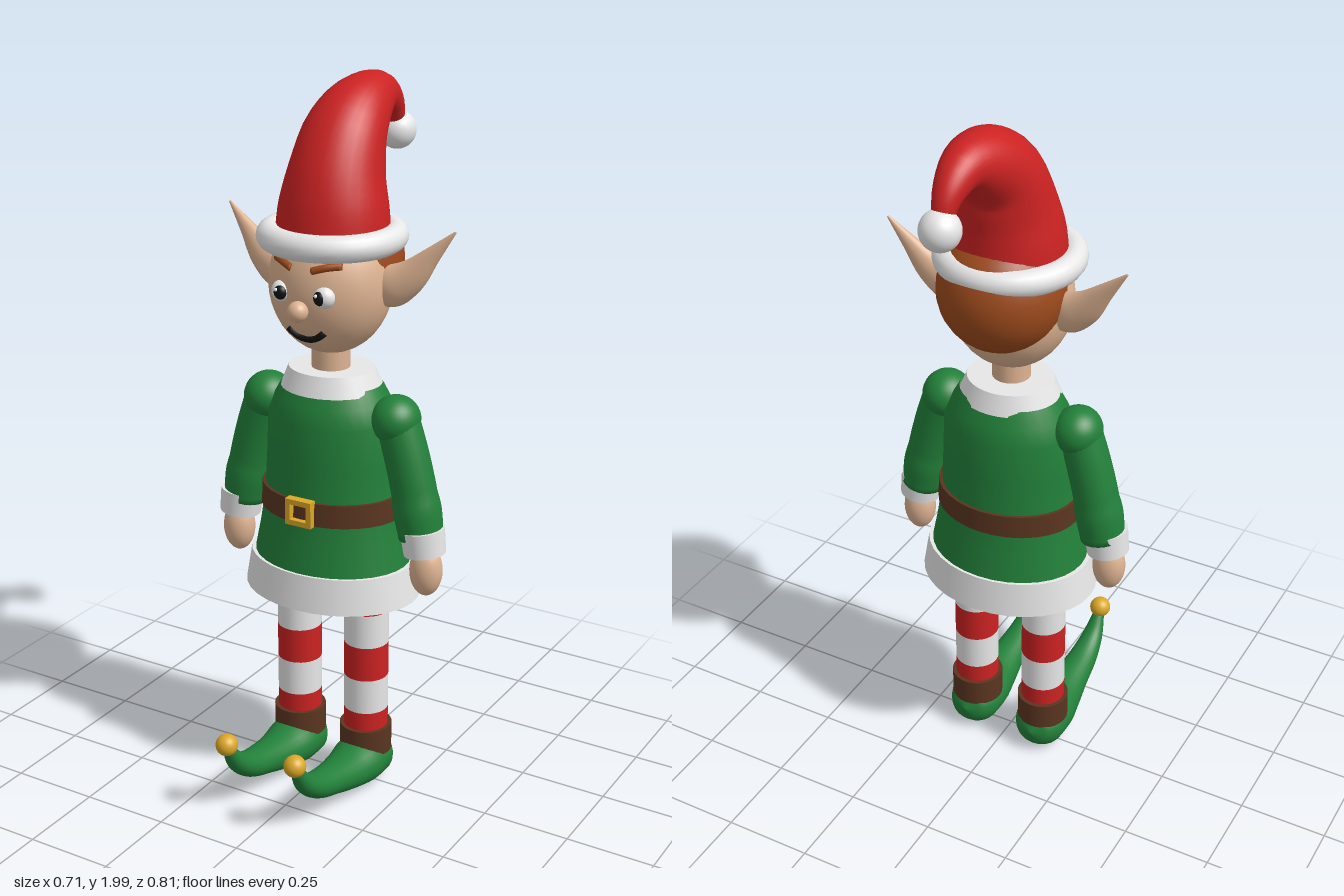
import * as THREE from 'three';

const mat = (name, color) => {
  const m = new THREE.MeshStandardMaterial({ color });
  m.name = name;
  return m;
};
const V = (x, y, z) => new THREE.Vector3(x, y, z);

// Closed smooth loft along a planar path; rows are [x, y, z, radius along side axis, other radius]
function loft(rows, side, steps = 20, segs = 24) {
  const path = new THREE.CatmullRomCurve3(rows.map(r => V(r[0], r[1], r[2])));
  const size = new THREE.CatmullRomCurve3(rows.map(r => V(r[3], r[4] ?? r[3], 0)));
  const pos = [], idx = [];
  for (let i = 0; i <= steps; i++) {
    const t = i / steps, c = path.getPoint(t), r = size.getPoint(t);
    const up = path.getTangent(t).cross(side).normalize();
    for (let j = 0; j < segs; j++) {
      const a = j / segs * Math.PI * 2;
      const p = c.clone().addScaledVector(side, Math.cos(a) * r.x).addScaledVector(up, Math.sin(a) * r.y);
      pos.push(p.x, p.y, p.z);
      if (i < steps) {
        const k = (j + 1) % segs, o = i * segs, n = o + segs;
        idx.push(o + j, o + k, n + k, o + j, n + k, n + j);
      }
    }
  }
  // End caps
  [0, 1].forEach(end => {
    const c = path.getPoint(end), n = pos.length / 3, o = end * steps * segs;
    pos.push(c.x, c.y, c.z);
    for (let j = 0; j < segs; j++) {
      const k = (j + 1) % segs;
      if (end) idx.push(n, o + j, o + k); else idx.push(n, o + k, o + j);
    }
  });
  const g = new THREE.BufferGeometry();
  g.setAttribute('position', new THREE.Float32BufferAttribute(pos, 3));
  g.setIndex(idx);
  g.computeVertexNormals();
  return g;
}

export function createModel() {
  const model = new THREE.Group();
  model.name = 'elf';
  const red = mat('red', 0xcc2222), white = mat('white', 0xe8e8e8), green = mat('green', 0x22803a);
  const brown = mat('leather brown', 0x5a3520), skin = mat('skin', 0xdeb392), hair = mat('hair brown', 0x9c4a1c);
  const gold = mat('gold', 0xdba827), black = mat('black', 0x111111);

  const add = (name, geo, material, x = 0, y = 0, z = 0) => {
    const m = new THREE.Mesh(geo, material);
    m.name = name;
    m.position.set(x, y, z);
    model.add(m);
    return m;
  };
  const ball = (name, material, x, y, z, rx, ry = rx, rz = rx) =>
    add(name, new THREE.SphereGeometry(1, 32, 20), material, x, y, z).scale.set(rx, ry, rz);
  const drum = (name, material, top, bottom, y0, y1, x, z, depth = 1) => {
    const m = add(name, new THREE.CylinderGeometry(top, bottom, y1 - y0, 32), material, x, (y0 + y1) / 2, z);
    m.scale.z = depth;
    return m;
  };
  const X = V(1, 0, 0), Z = V(0, 0, 1);

  // Tunic, fur trims and belt
  const profile = [[0.228, 0.69], [0.21, 0.78], [0.196, 0.87], [0.189, 1.0], [0.185, 1.11], [0.165, 1.16], [0.14, 1.205]];
  const tunic = add('tunic', new THREE.LatheGeometry(profile.map(p => new THREE.Vector2(...p)), 32), green, 0, 0, -0.01);
  tunic.scale.z = 0.82;
  drum('hemTrim', white, 0.238, 0.255, 0.6, 0.7, 0, -0.01, 0.81);
  drum('belt', brown, 0.204, 0.207, 0.84, 0.905, 0, -0.01, 0.82);
  drum('collar', white, 0.12, 0.142, 1.19, 1.245, 0, -0.005, 0.9);

  // Buckle frame
  const frame = new THREE.Shape([[-0.04, -0.037], [0.04, -0.037], [0.04, 0.037], [-0.04, 0.037]].map(p => new THREE.Vector2(...p)));
  frame.holes.push(new THREE.Path([[-0.025, -0.022], [-0.025, 0.022], [0.025, 0.022], [0.025, -0.022]].map(p => new THREE.Vector2(...p))));
  add('buckle', new THREE.ExtrudeGeometry(frame, { depth: 0.025, bevelEnabled: false }), gold, 0, 0.876, 0.15);

  // Head, neck and hair
  drum('neck', skin, 0.052, 0.052, 1.22, 1.34, 0, 0);
  ball('head', skin, 0, 1.48, 0, 0.168, 0.193, 0.16);
  ball('hair', hair, 0, 1.53, -0.052, 0.17, 0.17, 0.17);

  // Face, laid on the head surface
  const faceZ = (x, y) => 0.16 * Math.sqrt(1 - (x / 0.168) ** 2 - ((y - 1.48) / 0.193) ** 2);
  const stroke = (name, material, pts, r) =>
    add(name, loft(pts.map(([x, y]) => [x, y, faceZ(x, y), r]), Z, 12, 10), material);
  ball('nose', skin, 0, 1.437, 0.168, 0.028);
  stroke('mouth', black, [[-0.053, 1.376], [-0.028, 1.358], [0, 1.352], [0.028, 1.358], [0.053, 1.376]], 0.01);

  // Hat, brim and pompom
  const hat = [
    [0, 1.6, -0.01, 0.155, 0.15], [0, 1.68, -0.015, 0.147, 0.143], [0, 1.765, -0.032, 0.128, 0.13],
    [0, 1.855, -0.072, 0.112, 0.11], [0, 1.912, -0.145, 0.09, 0.09], [0, 1.937, -0.24, 0.06, 0.06],
    [0, 1.9, -0.31, 0.04, 0.04], [0, 1.84, -0.345, 0.024, 0.024]];
  add('hat', loft(hat, X, 24, 32), red);
  add('hatBrim', new THREE.TorusGeometry(0.165, 0.036, 16, 40), white, 0, 1.605, -0.007).rotation.x = Math.PI / 2;
  ball('pompom', white, 0, 1.822, -0.352, 0.053);

  for (const s of [1, -1]) {
    const side = s > 0 ? 'left' : 'right';

    // Eye, brow and ear
    ball(side + 'Eye', white, s * 0.064, 1.478, 0.14, 0.029, 0.029, 0.026);
    ball(side + 'Pupil', black, s * 0.06, 1.478, 0.154, 0.019, 0.02, 0.016);
    ball(side + 'EyeGlint', white, s * 0.06 - 0.006, 1.486, 0.167, 0.005);
    stroke(side + 'Brow', hair, [[s * 0.032, 1.545], [s * 0.065, 1.554], [s * 0.1, 1.558]], 0.01);
    add(side + 'Ear', loft([
      [s * 0.13, 1.475, -0.015, 0.03, 0.045], [s * 0.175, 1.487, -0.018, 0.037, 0.056],
      [s * 0.225, 1.518, -0.024, 0.031, 0.045], [s * 0.28, 1.577, -0.032, 0.018, 0.024],
      [s * 0.343, 1.645, -0.04, 0.003, 0.003]], Z), skin);

    // Arm
    ball(side + 'Shoulder', green, s * 0.2, 1.128, 0, 0.067, 0.067, 0.072);
    add(side + 'Sleeve', loft([
      [s * 0.2, 1.14, 0, 0.06], [s * 0.235, 1.03, 0, 0.061],
      [s * 0.262, 0.92, 0, 0.062], [s * 0.283, 0.81, 0, 0.062]], Z), green);
    drum(side + 'Cuff', white, 0.061, 0.058, 0.765, 0.835, s * 0.293, 0.005).rotation.z = s * 0.13;
    ball(side + 'Hand', skin, s * 0.302, 0.715, 0.005, 0.046, 0.073, 0.043);

    // Striped stocking
    const x = s * 0.11;
    [0.15, 0.245, 0.348, 0.45, 0.55, 0.64].forEach((y, i, a) => {
      if (i < 5) drum(side + 'StockingStripe' + i, i % 2 ? white : red, 0.063, 0.063, y, a[i + 1], x, -0.01);
    });

    // Curled shoe with ankle band and bell
    drum(side + 'AnkleBand', brown, 0.074, 0.074, 0.11, 0.19, x, -0.01);
    add(side + 'Shoe', loft([
      [x, 0.088, -0.092, 0.004, 0.004], [x, 0.086, -0.075, 0.05, 0.045], [x, 0.083, -0.035, 0.075, 0.07],
      [x, 0.083, 0.025, 0.078, 0.068], [x, 0.086, 0.1, 0.066, 0.056], [x, 0.1, 0.18, 0.052, 0.046],
      [x, 0.122, 0.265, 0.042, 0.038], [x, 0.16, 0.325, 0.031, 0.028], [x, 0.225, 0.37, 0.015, 0.015]], X, 32), green);
    ball(side + 'Bell', gold, x, 0.236, 0.374, 0.031);
  }
  return model;
}
